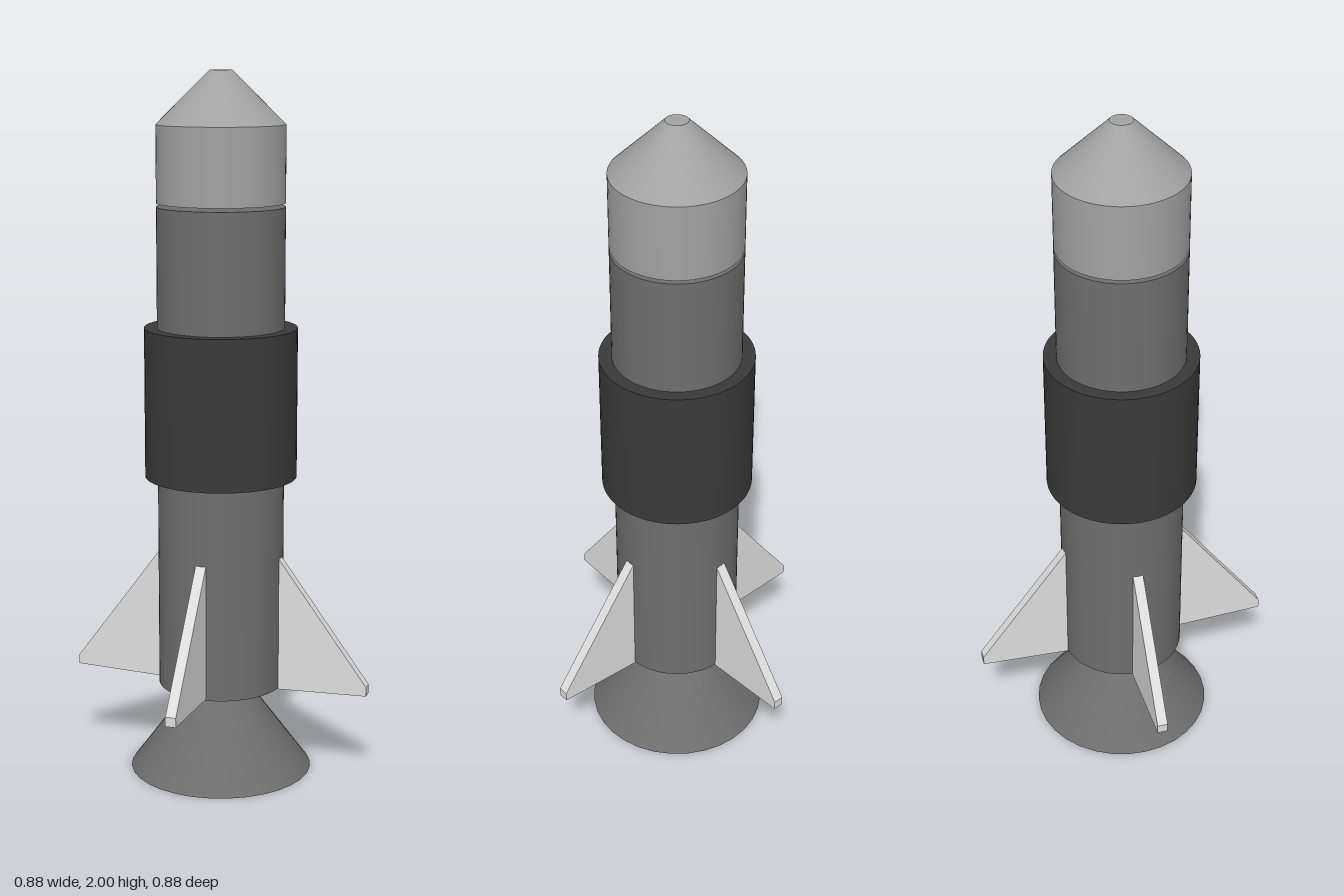
import * as THREE from 'three';

const material = (name, color) => {
  const m = new THREE.MeshStandardMaterial({ color });
  m.name = name;
  return m;
};

export function createModel() {
  const rocket = new THREE.Group();
  rocket.name = 'rocket';
  const bodyGrey = material('bodyGrey', 0x6e6e6e);
  const noseGrey = material('noseGrey', 0xa2a2a2);
  const collarCharcoal = material('collarCharcoal', 0x3a3a3a);
  const finSilver = material('finSilver', 0xdedede);

  const add = (name, geometry, mat) => {
    const mesh = new THREE.Mesh(geometry, mat);
    mesh.name = name;
    rocket.add(mesh);
    return mesh;
  };
  // Round section standing between two heights
  const section = (name, rTop, rBottom, y0, y1, mat, sides = 64, open = false) => {
    const g = new THREE.CylinderGeometry(rTop, rBottom, y1 - y0, sides, 1, open);
    return add(name, g.translate(0, (y0 + y1) / 2, 0), mat);
  };
  // Flat disc facing down
  const disc = (name, radius, y, mat) =>
    add(name, new THREE.CircleGeometry(radius, 32).rotateX(Math.PI / 2).translate(0, y, 0), mat);

  // Body, collar and nose, with a thin gap under the nose
  section('body', 0.179, 0.179, 0.257, 1.631, bodyGrey);
  section('collar', 0.215, 0.215, 0.87, 1.295, collarCharcoal);
  section('noseBase', 0.179, 0.179, 1.641, 1.854, noseGrey);
  section('noseCone', 0.031, 0.179, 1.854, 2, noseGrey, 64);

  // Flared nozzle with a shallow recessed plate inside its rim
  section('nozzle', 0.07, 0.262, 0, 0.26, bodyGrey, 32, true);
  const lip = [new THREE.Vector2(0.228, 0.03), new THREE.Vector2(0.262, 0)];
  add('nozzleLip', new THREE.LatheGeometry(lip, 32), bodyGrey);
  disc('nozzlePlate', 0.228, 0.03, bodyGrey);

  // Four swept fins, each set at a slightly different height and angle:
  // [name, turn, root height, tip height, sideways shift]
  const fins = [
    ['leftFin', -0.016, 0.252, 0.262, 0],
    ['backFin', Math.PI / 2, 0.252, 0.266, -0.012],
    ['rightFin', Math.PI, 0.252, 0.264, 0.001],
    ['frontFin', -Math.PI / 2, 0.26, 0.274, 0.002],
  ];
  for (const [name, turn, root, tip, shift] of fins) {
    const outline = new THREE.Shape();
    outline.moveTo(0.14, root);
    outline.lineTo(0.438, tip);
    outline.lineTo(0.438, tip + 0.027);
    outline.lineTo(0.172, root + 0.398);
    outline.lineTo(0.14, root + 0.398);
    const g = new THREE.ExtrudeGeometry(outline, { depth: 0.03, bevelEnabled: false });
    g.translate(0, 0, -0.015 + shift);
    add(name, g, finSilver).rotation.y = turn;
  }
  return rocket;
}
